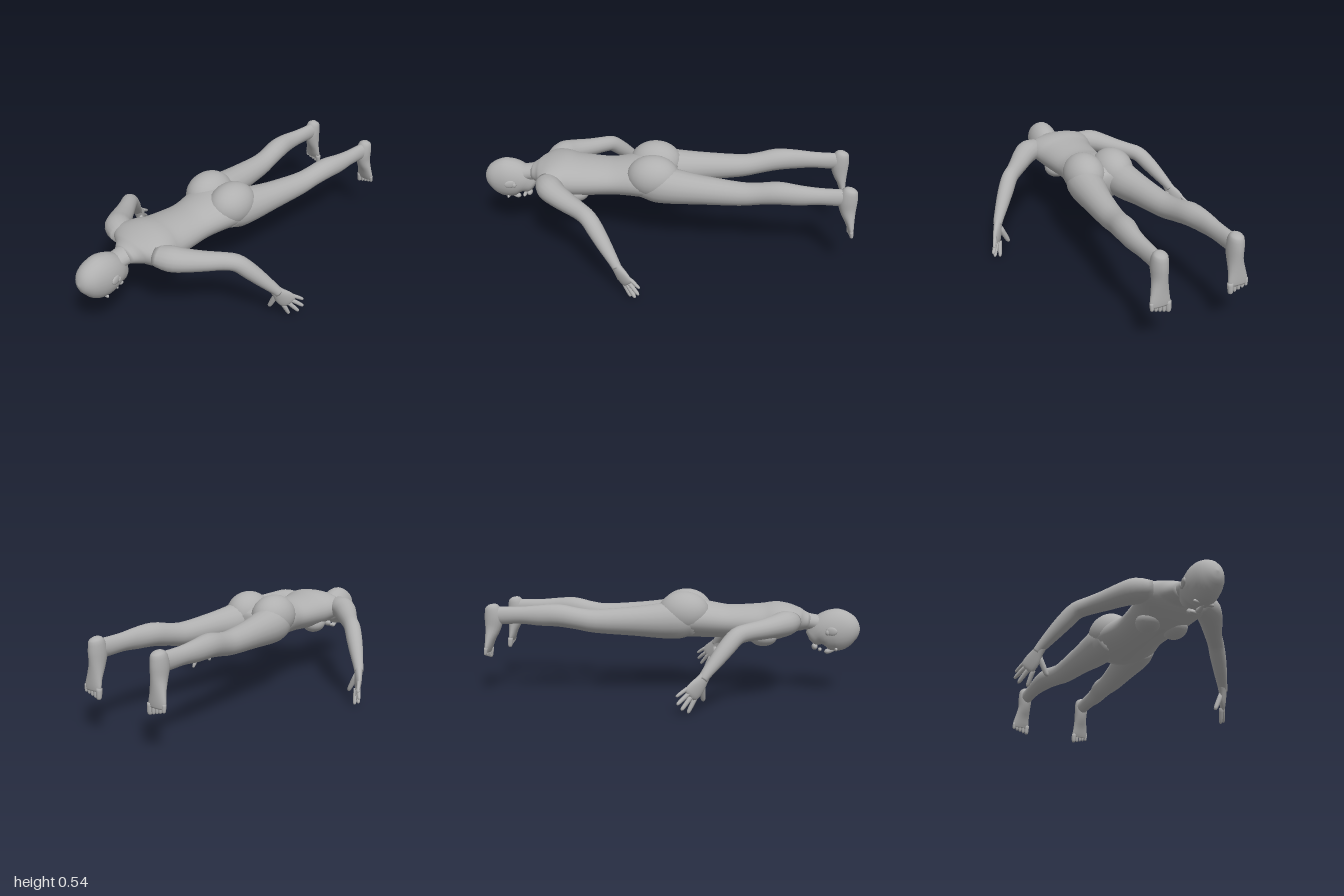
import * as THREE from 'three';

const skin = new THREE.MeshStandardMaterial({ color: 0xb0b0b0 });
skin.name = 'plain grey';

// Smooth closed skin over elliptical sections [x, y, z, halfWidth, halfHeight].
// side mirrors x; ref fixes which way the half height points.
function loft(name, sections, { side = 1, ref = [0, 1, 0], around = 18, steps = 3 } = {}) {
  const path = new THREE.CatmullRomCurve3(
    sections.map(s => new THREE.Vector3(s[0] * side, s[1], s[2])), false, 'catmullrom');
  const radii = new THREE.CatmullRomCurve3(
    sections.map(s => new THREE.Vector3(s[3], s[4], 0)), false, 'catmullrom');
  const up = new THREE.Vector3(ref[0] * side, ref[1], ref[2]);
  const rows = (sections.length - 1) * steps;
  const pos = [], index = [];
  for (let i = 0; i <= rows; i++) {
    const t = i / rows;
    const p = path.getPoint(t), r = radii.getPoint(t), dir = path.getTangent(t);
    const u = up.clone().cross(dir).normalize(), v = dir.clone().cross(u);
    for (let j = 0; j < around; j++) {
      const a = j / around * Math.PI * 2;
      const q = p.clone()
        .addScaledVector(u, Math.cos(a) * Math.max(r.x, 0.001))
        .addScaledVector(v, Math.sin(a) * Math.max(r.y, 0.001));
      pos.push(q.x, q.y, q.z);
    }
  }
  const at = (i, j) => i * around + j % around;
  for (let i = 0; i < rows; i++) {
    for (let j = 0; j < around; j++) {
      index.push(at(i, j), at(i, j + 1), at(i + 1, j));
      index.push(at(i, j + 1), at(i + 1, j + 1), at(i + 1, j));
    }
  }
  const start = (rows + 1) * around, end = start + 1;
  for (const t of [0, 1]) pos.push(...path.getPoint(t).toArray());
  for (let j = 0; j < around; j++) {
    index.push(start, at(0, j + 1), at(0, j));
    index.push(end, at(rows, j), at(rows, j + 1));
  }
  const geo = new THREE.BufferGeometry();
  geo.setAttribute('position', new THREE.Float32BufferAttribute(pos, 3));
  geo.setIndex(index);
  geo.computeVertexNormals();
  const mesh = new THREE.Mesh(geo, skin);
  mesh.name = name;
  return mesh;
}

function ellipsoid(name, center, size) {
  const geo = new THREE.SphereGeometry(1, 24, 16).scale(...size);
  const mesh = new THREE.Mesh(geo, skin);
  mesh.name = name;
  mesh.position.set(...center);
  return mesh;
}

// Tapered finger or toe with a rounded tip
function digit(name, a, b, r, side, ref) {
  const mix = t => a.map((v, k) => v + (b[k] - v) * t);
  return loft(name, [[0, 1], [0.5, 0.95], [0.85, 0.8], [0.96, 0.5], [1, 0.1]]
    .map(([t, s]) => [...mix(t), r * s, r * s]), { side, ref, around: 8, steps: 2 });
}

function createHead() {
  const head = new THREE.Group();
  head.name = 'head';
  // Skull and face, lying face down, crown towards the front
  head.add(loft('skull', [
    [0, 0.345, 0.999, 0.006, 0.006], [0, 0.345, 0.985, 0.04, 0.046],
    [0, 0.345, 0.95, 0.068, 0.085], [0, 0.342, 0.9, 0.081, 0.111],
    [0, 0.338, 0.85, 0.084, 0.112], [0, 0.325, 0.8, 0.075, 0.097],
    [0, 0.308, 0.77, 0.06, 0.07], [0, 0.285, 0.75, 0.042, 0.042],
    [0, 0.277, 0.742, 0.018, 0.018],
  ], { around: 24 }));
  head.add(loft('neck', [
    [0, 0.39, 0.64, 0.085, 0.055], [0, 0.387, 0.7, 0.066, 0.047],
    [0, 0.38, 0.75, 0.056, 0.044], [0, 0.365, 0.82, 0.055, 0.05],
  ]));
  head.add(loft('nose', [
    [0, 0.238, 0.875, 0.007, 0.01], [0, 0.229, 0.85, 0.01, 0.013],
    [0, 0.222, 0.828, 0.016, 0.014], [0, 0.228, 0.818, 0.008, 0.008],
  ], { around: 10 }));
  head.add(ellipsoid('lips', [0, 0.232, 0.79], [0.024, 0.01, 0.01]));
  head.add(ellipsoid('chin', [0, 0.248, 0.762], [0.024, 0.018, 0.016]));
  for (const s of [1, -1]) {
    const ear = ellipsoid('ear', [s * 0.087, 0.342, 0.842], [0.009, 0.022, 0.031]);
    ear.rotation.y = s * 0.3;
    head.add(ear);
    head.add(ellipsoid('earlobe', [s * 0.082, 0.335, 0.822], [0.01, 0.015, 0.012]));
    head.add(ellipsoid('brow', [s * 0.033, 0.24, 0.872], [0.024, 0.011, 0.009]));
  }
  return head;
}

function createTorso() {
  const torso = new THREE.Group();
  torso.name = 'torso';
  torso.add(loft('trunk', [
    [0, 0.385, 0.73, 0.06, 0.04], [0, 0.39, 0.69, 0.1, 0.056],
    [0, 0.395, 0.66, 0.155, 0.068], [0, 0.395, 0.62, 0.195, 0.085],
    [0, 0.39, 0.56, 0.182, 0.1], [0, 0.38, 0.5, 0.163, 0.102],
    [0, 0.378, 0.42, 0.152, 0.097], [0, 0.38, 0.3, 0.143, 0.09],
    [0, 0.386, 0.22, 0.15, 0.095], [0, 0.395, 0.12, 0.175, 0.102],
    [0, 0.393, 0.03, 0.18, 0.098], [0, 0.375, -0.05, 0.12, 0.065],
  ], { around: 32 }));
  for (const s of [1, -1]) {
    torso.add(ellipsoid('buttock', [s * 0.085, 0.432, 0.06], [0.11, 0.114, 0.14]));
    torso.add(ellipsoid('breast', [s * 0.075, 0.31, 0.485], [0.064, 0.053, 0.075]));
  }
  return torso;
}

function createArm(side) {
  const arm = new THREE.Group();
  arm.name = side > 0 ? 'leftArm' : 'rightArm';
  arm.add(loft('armLength', [
    [0.13, 0.4, 0.625, 0.06, 0.05], [0.2, 0.398, 0.595, 0.07, 0.063],
    [0.25, 0.39, 0.55, 0.063, 0.058], [0.31, 0.378, 0.475, 0.053, 0.05],
    [0.365, 0.37, 0.405, 0.045, 0.045], [0.41, 0.357, 0.355, 0.044, 0.044],
    [0.45, 0.31, 0.31, 0.043, 0.043], [0.49, 0.255, 0.265, 0.037, 0.037],
    [0.535, 0.19, 0.213, 0.027, 0.027], [0.548, 0.165, 0.197, 0.024, 0.024],
  ], { side }));
  // Hand with spread fingers
  const ref = [0.75, 0, 0.65];
  arm.add(loft('palm', [
    [0.53, 0.197, 0.218, 0.025, 0.024], [0.545, 0.165, 0.198, 0.032, 0.021],
    [0.56, 0.13, 0.172, 0.045, 0.019], [0.574, 0.102, 0.148, 0.046, 0.015],
    [0.58, 0.09, 0.138, 0.034, 0.009],
  ], { side, ref }));
  const fingers = [
    ['indexFinger', [0.552, 0.08, 0.165], [0.567, 0.002, 0.128], 0.012],
    ['middleFinger', [0.568, 0.094, 0.151], [0.606, 0.025, 0.1], 0.012],
    ['ringFinger', [0.58, 0.108, 0.139], [0.62, 0.055, 0.08], 0.0115],
    ['littleFinger', [0.588, 0.13, 0.129], [0.614, 0.093, 0.076], 0.01],
    ['thumb', [0.535, 0.145, 0.195], [0.488, 0.046, 0.197], 0.015],
  ];
  for (const [name, a, b, r] of fingers) arm.add(digit(name, a, b, r, side, ref));
  return arm;
}

function createLeg(side) {
  const leg = new THREE.Group();
  leg.name = side > 0 ? 'leftLeg' : 'rightLeg';
  leg.add(loft('legLength', [
    [0.1, 0.4, 0.12, 0.07, 0.08], [0.102, 0.396, 0.04, 0.092, 0.1],
    [0.11, 0.39, -0.06, 0.092, 0.094], [0.13, 0.388, -0.2, 0.076, 0.078],
    [0.152, 0.388, -0.4, 0.063, 0.063], [0.165, 0.402, -0.5, 0.057, 0.058],
    [0.181, 0.42, -0.6, 0.057, 0.06], [0.194, 0.42, -0.7, 0.046, 0.055],
    [0.195, 0.42, -0.8, 0.038, 0.046], [0.195, 0.418, -0.9, 0.033, 0.047],
    [0.197, 0.42, -0.96, 0.034, 0.045],
  ], { side }));
  // Foot points down, sole facing the back
  const ref = [0, 0, 1];
  leg.add(loft('foot', [
    [0.198, 0.478, -0.96, 0.012, 0.015], [0.198, 0.462, -0.957, 0.034, 0.038],
    [0.198, 0.41, -0.95, 0.04, 0.05], [0.198, 0.35, -0.957, 0.038, 0.042],
    [0.203, 0.29, -0.972, 0.045, 0.026], [0.206, 0.245, -0.981, 0.052, 0.017],
    [0.206, 0.222, -0.985, 0.046, 0.011],
  ], { side, ref }));
  for (let i = 0; i < 5; i++) {
    const x = 0.167 + i * 0.0205 - (i ? 0 : 0.002);
    digitTo(leg, x, 0.24 + i * 0.002, 0.184 + i * 0.006, i ? 0.0105 : 0.015, side, ref);
  }
  return leg;
}

function digitTo(leg, x, top, tip, r, side, ref) {
  leg.add(digit('toe', [x, top, -0.982], [x, tip, -0.987], r, side, ref));
}

export function createModel() {
  const figure = new THREE.Group();
  figure.name = 'proneFigure';
  figure.add(createHead(), createTorso());
  for (const side of [1, -1]) figure.add(createArm(side), createLeg(side));
  return figure;
}
